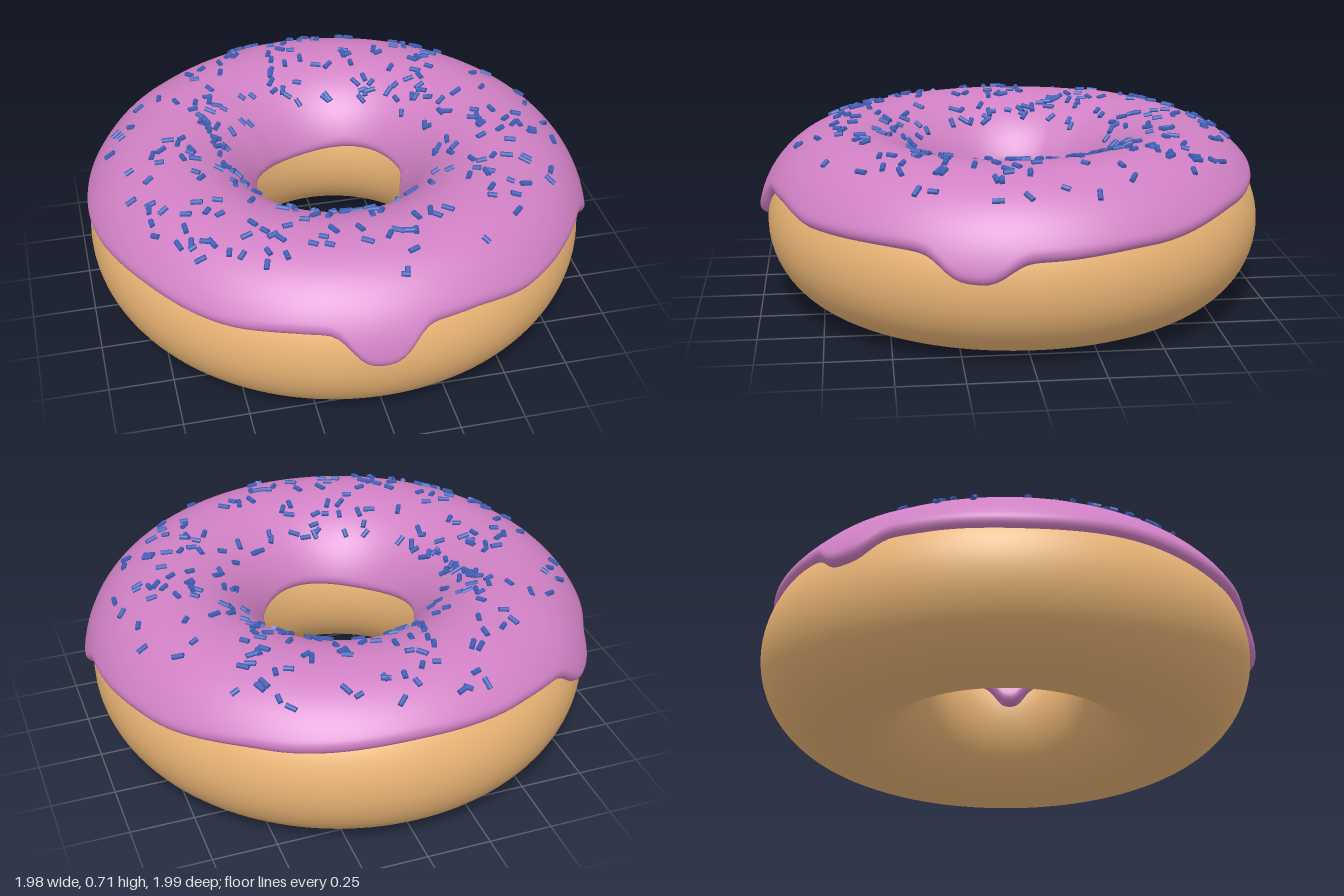
import * as THREE from 'three';
import { mergeGeometries } from 'three/addons/utils/BufferGeometryUtils.js';

const RING = 0.65, TUBE = 0.33, MID = 0.33, ICING = 0.036, CZ = -0.015;
const TAU = Math.PI * 2;

function rng(seed) {
  return () => (seed = (seed * 16807) % 2147483647) / 2147483647;
}

// Point on the ring: a = angle round the ring from +z to +x, phi = angle round the tube, off = height above the dough
function ringPoint(a, phi, off) {
  const r = RING + (TUBE + off) * Math.cos(phi);
  return new THREE.Vector3(Math.sin(a) * r, MID + (TUBE + off) * Math.sin(phi), Math.cos(a) * r);
}

// Rounded drip shape centred on an angle in degrees
function drip(a, deg, width, depth) {
  const d = Math.abs(((a - deg * Math.PI / 180) % TAU + TAU + Math.PI) % TAU - Math.PI);
  return depth * Math.exp(-Math.pow(d / width, 3));
}

// Height of the outer icing edge, [degrees, y], before drips
const EDGE = [[0, 0.48], [18, 0.48], [35, 0.45], [55, 0.455], [90, 0.43], [115, 0.45], [145, 0.49], [180, 0.52],
  [205, 0.51], [231, 0.48], [250, 0.46], [270, 0.45], [300, 0.475], [323, 0.46], [340, 0.475], [360, 0.48]];

function outerEdge(a) {
  const deg = a * 360 / TAU;
  const i = Math.max(1, EDGE.findIndex(e => e[0] >= deg));
  const [d0, y0] = EDGE[i - 1], [d1, y1] = EDGE[i];
  const y = THREE.MathUtils.lerp(y0, y1, THREE.MathUtils.smoothstep(deg, d0, d1));
  return y - drip(a, -2.5, 0.13, 0.135) - drip(a, 76.5, 0.14, 0.09) - drip(a, 231, 0.13, 0.085);
}

function innerEdge(a) {
  return 0.41 + 0.015 * Math.sin(3 * a + 0.5) - drip(a, 84, 0.22, 0.08);
}

// Icing shell: a section from outer edge to inner edge with rounded lips, swept round the ring
function icingGeometry() {
  const N = 240, K = 56, lip = 0.035;
  const pos = [], idx = [];
  for (let i = 0; i < N; i++) {
    const a = i / N * TAU;
    const p0 = Math.asin((outerEdge(a) - MID) / 0.35);
    const p1 = Math.PI - Math.asin((innerEdge(a) - MID) / 0.35);
    const thick = ICING + drip(a, 231, 0.15, 0.004);
    const innerExtra = drip(a, 84, 0.2, 0.012);
    for (let k = 0; k <= K; k++) {
      const u = (1 - Math.cos(Math.PI * k / K)) / 2;
      const phi = p0 + (p1 - p0) * u;
      const s = Math.min(1, Math.min(phi - p0, p1 - phi) * TUBE / lip);
      const t = thick + innerExtra * THREE.MathUtils.smoothstep(u, 0.8, 1);
      const off = t * Math.sqrt(Math.max(0, 1 - (1 - s) ** 2)) - 0.003 * (1 - s);
      pos.push(...ringPoint(a, phi, off).toArray());
      if (k < K) {
        const p = i * (K + 1) + k, q = ((i + 1) % N) * (K + 1) + k;
        idx.push(p, q, p + 1, q, q + 1, p + 1);
      }
    }
  }
  const g = new THREE.BufferGeometry();
  g.setAttribute('position', new THREE.Float32BufferAttribute(pos, 3));
  g.setIndex(idx);
  g.computeVertexNormals();
  return g;
}

// Little rods lying on the icing, denser towards the hole
function sprinklesGeometry() {
  const rand = rng(4217), parts = [];
  const rod = new THREE.CylinderGeometry(0.01, 0.01, 0.042, 10);
  const up = new THREE.Vector3(0, 1, 0);
  for (let i = 0; i < 260; i++) {
    const a = rand() * TAU;
    const r = 0.4 + 0.48 * Math.pow(rand(), 1.25);
    const phi = Math.acos((r - RING) / (TUBE + ICING));
    const along = new THREE.Vector3(Math.cos(a), 0, -Math.sin(a));
    const normal = new THREE.Vector3(Math.sin(a) * Math.cos(phi), Math.sin(phi), Math.cos(a) * Math.cos(phi));
    const dir = along.applyAxisAngle(normal, rand() * Math.PI);
    const size = 0.7 + 0.45 * rand();
    const m = new THREE.Matrix4().compose(ringPoint(a, phi, ICING + 0.004),
      new THREE.Quaternion().setFromUnitVectors(up, dir), new THREE.Vector3(1, size, 1));
    parts.push(rod.clone().applyMatrix4(m));
  }
  // one loose rod standing in the middle of the hole
  parts.push(rod.clone().translate(0, 0.3, 0));
  return mergeGeometries(parts);
}

export function createModel() {
  const group = new THREE.Group();
  group.name = 'donut';
  const add = (name, geometry, color) => {
    const mesh = new THREE.Mesh(geometry, new THREE.MeshStandardMaterial({ color }));
    mesh.name = name;
    mesh.position.z = CZ;
    group.add(mesh);
  };

  const dough = new THREE.TorusGeometry(RING, TUBE, 64, 128);
  dough.rotateX(Math.PI / 2).translate(0, MID, 0);
  add('dough', dough, 0xecb676);
  add('icing', icingGeometry(), 0xd080c4);
  add('sprinkles', sprinklesGeometry(), 0x3f5fb8);
  return group;
}
